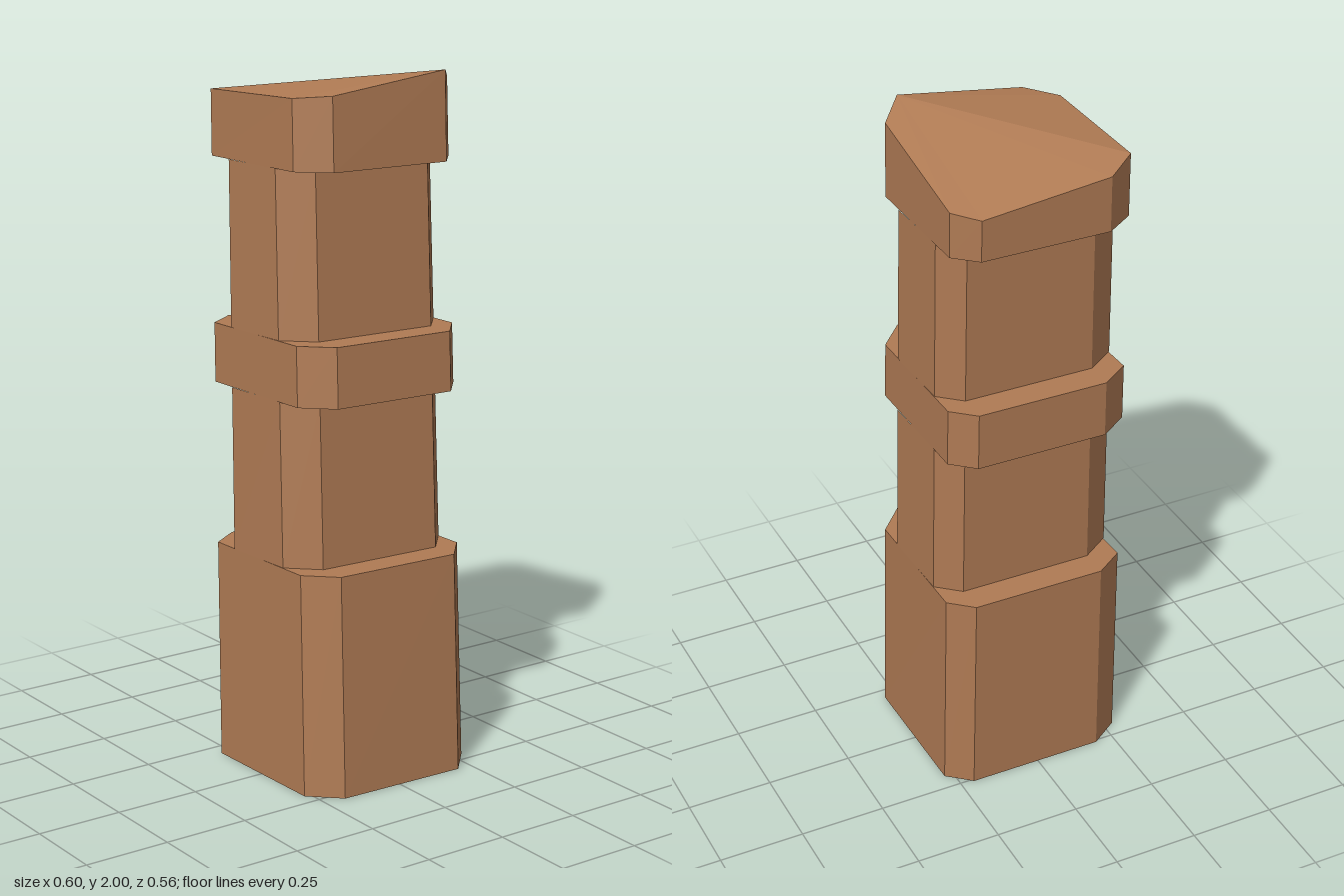
import * as THREE from 'three';

// Chamfered-square outlines [x, z], running front-left, front-right, right-front ... left-front
const FOOT = [[-0.20, 0.28], [0.207, 0.27], [0.287, 0.187], [0.30, -0.205],
  [0.215, -0.284], [-0.20, -0.278], [-0.258, -0.21], [-0.258, 0.195]];
const HEAD = [[-0.245, 0.26], [0.128, 0.247], [0.205, 0.17], [0.22, -0.195],
  [0.135, -0.268], [-0.245, -0.26], [-0.303, -0.197], [-0.303, 0.175]];
// Uneven height of each corner of the slanted top
const TOP = [1.935, 1.945, 1.953, 2.0, 1.97, 1.88, 1.87, 1.912];

// Outline of the leaning, tapering post at the given heights; inset narrows it in x only
function ring(heights, inset) {
  return FOOT.map(([x, z], i) => {
    const t = Math.min(heights[i] / 1.94, 1);
    const px = THREE.MathUtils.lerp(x, HEAD[i][0], t);
    const pz = THREE.MathUtils.lerp(z, HEAD[i][1], t);
    return [px - Math.sign(x) * inset, heights[i], pz];
  });
}

// Flat-sided segment between two rings, optionally capped
function segment(name, low, high, inset, capped, material) {
  const a = ring(low, inset), b = ring(high, inset), pos = [];
  const tri = (...pts) => pts.forEach((p) => pos.push(...p));
  for (let i = 0; i < 8; i++) {
    const j = (i + 1) % 8;
    tri(a[i], a[j], b[j]);
    tri(a[i], b[j], b[i]);
  }
  if (capped) {
    // fan from the right-back corner, which is the peak of the top
    for (let k = 1; k < 7; k++) {
      const i = (3 + k) % 8, j = (4 + k) % 8;
      tri(b[3], b[i], b[j]);
      tri(a[3], a[j], a[i]);
    }
  }
  const geo = new THREE.BufferGeometry();
  geo.setAttribute('position', new THREE.Float32BufferAttribute(pos, 3));
  geo.computeVertexNormals();
  const mesh = new THREE.Mesh(geo, material);
  mesh.name = name;
  return mesh;
}

export function createModel() {
  const group = new THREE.Group();
  group.name = 'post';
  const wood = new THREE.MeshStandardMaterial({ color: 0xb07b54 });
  wood.name = 'brown wood';
  const level = (y) => Array(8).fill(y);
  const INSET = 0.085;

  group.add(
    segment('base', level(0), level(0.64), 0, true, wood),
    segment('lowerShaft', level(0.64), level(1.11), INSET, false, wood),
    segment('middleBand', level(1.11), level(1.28), 0, true, wood),
    segment('upperShaft', level(1.28), level(1.75), INSET, false, wood),
    segment('slantedCap', level(1.75), TOP, 0, true, wood),
  );
  return group;
}
